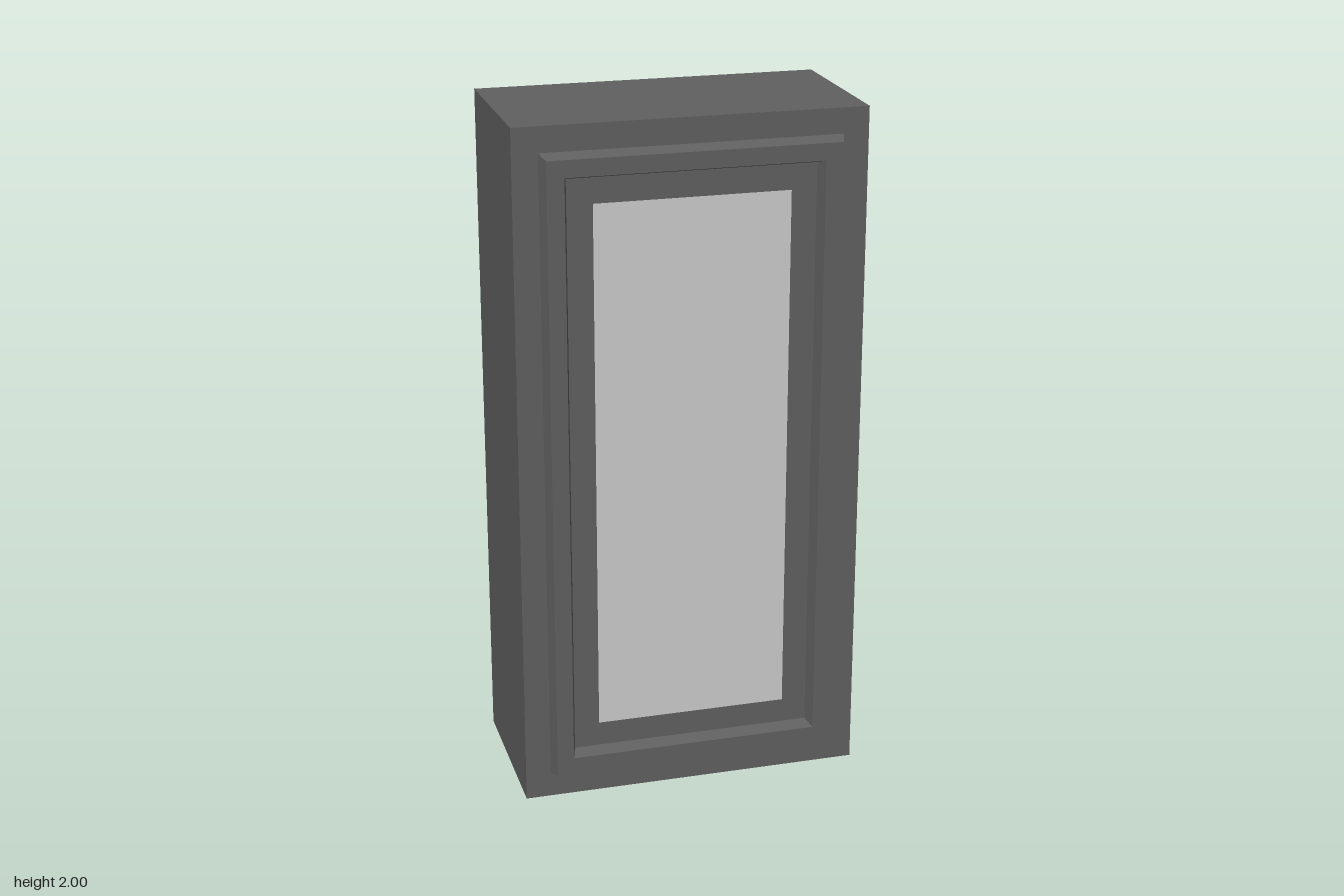
import * as THREE from 'three';

// Mitred rectangular moulding: each ring is [half width, half height, z]
function mouldingGeometry(rings) {
  const corners = [[1, 1], [-1, 1], [-1, -1], [1, -1]];
  const point = (ring, k) => [corners[k % 4][0] * ring[0], corners[k % 4][1] * ring[1], ring[2]];
  const positions = [];
  for (let i = 0; i < rings.length - 1; i++) {
    for (let k = 0; k < 4; k++) {
      const a = point(rings[i], k), b = point(rings[i], k + 1);
      const c = point(rings[i + 1], k + 1), d = point(rings[i + 1], k);
      positions.push(...a, ...b, ...c, ...a, ...c, ...d);
    }
  }
  const geometry = new THREE.BufferGeometry();
  geometry.setAttribute('position', new THREE.Float32BufferAttribute(positions, 3));
  geometry.computeVertexNormals();
  return geometry;
}

export function createModel() {
  const model = new THREE.Group();
  const dark = new THREE.MeshStandardMaterial({ color: 0x606060, flatShading: true });
  const pale = new THREE.MeshStandardMaterial({ color: 0xcccccc });

  const add = (parent, name, geometry, material, y, z) => {
    const mesh = new THREE.Mesh(geometry, material);
    mesh.name = name;
    mesh.position.set(0, y, z);
    parent.add(mesh);
  };

  // Main block
  add(model, 'body', new THREE.BoxGeometry(1, 2, 0.5), dark, 1, 0);

  // Raised frame with sloped edges, and the pale panel inside it
  const frame = mouldingGeometry([
    [0.427, 0.927, 0.25],
    [0.414, 0.914, 0.29],
    [0.365, 0.865, 0.29],
    [0.353, 0.853, 0.25],
  ]);
  const panel = new THREE.PlaneGeometry(0.56, 1.56);

  // The same face on front and back
  for (const [name, turn] of [['frontFace', 0], ['backFace', Math.PI]]) {
    const face = new THREE.Group();
    face.name = name;
    add(face, 'frame', frame, dark, 1, 0);
    add(face, 'panel', panel, pale, 1, 0.252);
    face.rotation.y = turn;
    model.add(face);
  }
  return model;
}
